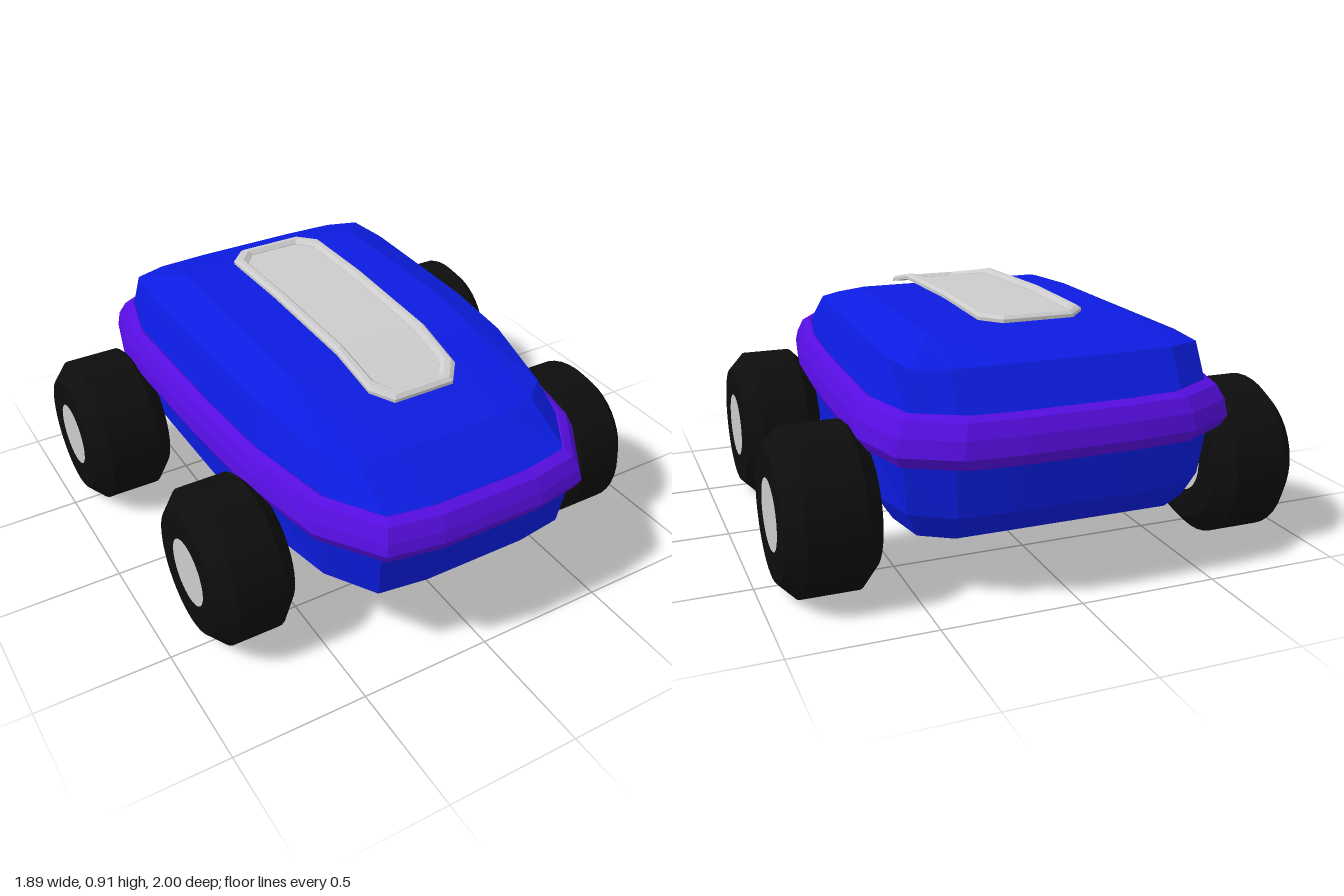
import * as THREE from 'three';
import { toCreasedNormals } from 'three/addons/utils/BufferGeometryUtils.js';

const mat = (color, extra = {}) => new THREE.MeshStandardMaterial({ color, ...extra });

// Mirror a half outline [x, z] (back to front, on +x) into a closed loop at height y(z)
function loop(half, y) {
  const h = typeof y === 'function' ? y : () => y;
  const right = half.map(([x, z]) => new THREE.Vector3(x, h(z), z));
  const left = right.map(p => new THREE.Vector3(-p.x, p.y, p.z)).reverse();
  return [...right, ...left];
}

// Skin stacked loops; optionally cap the ends, or join the last loop to the first
function loft(rings, { capBottom = false, capTop = false, closed = false } = {}) {
  const pos = [];
  const quad = (a, b, c, d) => [a, b, c, a, c, d].forEach(p => pos.push(p.x, p.y, p.z));
  const n = rings[0].length;
  for (let r = 0; r < rings.length - (closed ? 0 : 1); r++) {
    const lo = rings[r], hi = rings[(r + 1) % rings.length];
    for (let i = 0; i < n; i++) {
      const j = (i + 1) % n;
      quad(lo[i], hi[i], hi[j], lo[j]);
    }
  }
  const cap = (g, up) => {
    for (let i = 0; i < n / 2 - 1; i++) {
      const q = [g[i], g[n - 1 - i], g[n - 2 - i], g[i + 1]];
      quad(...(up ? q : q.reverse()));
    }
  };
  if (capBottom) cap(rings[0], false);
  if (capTop) cap(rings[rings.length - 1], true);
  const geo = new THREE.BufferGeometry();
  geo.setAttribute('position', new THREE.Float32BufferAttribute(pos, 3));
  geo.computeVertexNormals();
  return geo;
}

// Height that varies linearly between [z, y] stations
const heightAlong = stations => z => {
  for (let i = 1; i < stations.length; i++) {
    const [z0, y0] = stations[i - 1], [z1, y1] = stations[i];
    if (z <= z1 || i === stations.length - 1) {
      return THREE.MathUtils.mapLinear(THREE.MathUtils.clamp(z, z0, z1), z0, z1, y0, y1);
    }
  }
};

// Shrink an outline by about d on every side
const inset = (half, d, halfWidth, halfLength, zMid = 0) =>
  half.map(([x, z]) => [x * (1 - d / halfWidth), zMid + (z - zMid) * (1 - d / halfLength)]);

function add(parent, name, geometry, material) {
  const mesh = new THREE.Mesh(geometry, material);
  mesh.name = name;
  parent.add(mesh);
  return mesh;
}

function makeBody() {
  const rings = [
    // underside
    loop([[0.2, -0.6], [0.38, -0.6], [0.39, -0.59], [0.39, -0.57], [0.39, 0], [0.38, 0.27],
      [0.37, 0.29], [0.36, 0.3], [0.2, 0.3]], 0.195),
    loop([[0.2, -0.84], [0.39, -0.84], [0.5, -0.77], [0.53, -0.6], [0.52, 0], [0.5, 0.33],
      [0.44, 0.6], [0.36, 0.7], [0.2, 0.71]], 0.23),
    // lower sides
    loop([[0.2, -0.9], [0.4, -0.89], [0.54, -0.8], [0.585, -0.6], [0.575, 0], [0.56, 0.35],
      [0.49, 0.7], [0.38, 0.88], [0.2, 0.905]], 0.32),
    loop([[0.2, -0.92], [0.41, -0.9], [0.56, -0.82], [0.6, -0.6], [0.585, 0], [0.57, 0.35],
      [0.51, 0.72], [0.39, 0.91], [0.2, 0.93]], 0.5),
    // upper sides
    loop([[0.2, -0.92], [0.4, -0.91], [0.54, -0.83], [0.6, -0.6], [0.585, 0], [0.555, 0.4],
      [0.48, 0.72], [0.37, 0.89], [0.2, 0.91]], 0.645),
    // shoulder
    loop([[0.2, -0.83], [0.4, -0.82], [0.52, -0.78], [0.54, -0.6], [0.53, 0], [0.51, 0.3],
      [0.45, 0.62], [0.36, 0.7], [0.2, 0.73]],
    heightAlong([[-0.83, 0.8], [0, 0.805], [0.3, 0.795], [0.62, 0.76], [0.73, 0.757]])),
    // roof
    loop([[0.2, -0.6], [0.38, -0.6], [0.39, -0.59], [0.39, -0.57], [0.39, 0], [0.38, 0.27],
      [0.37, 0.28], [0.36, 0.29], [0.2, 0.29]],
    heightAlong([[-0.6, 0.86], [0, 0.868], [0.29, 0.855]])),
  ];
  return loft(rings, { capBottom: true, capTop: true });
}

function makeBumper() {
  const outline = [[0.2, -1], [0.41, -0.985], [0.6, -0.88], [0.67, -0.62], [0.65, 0],
    [0.625, 0.35], [0.55, 0.74], [0.4, 0.96], [0.2, 0.995]];
  // [inset, height] around the bar's section, from inner bottom outwards and up
  const section = [[0.1, 0.5], [0.02, 0.51], [0, 0.55], [0.01, 0.6], [0.035, 0.65],
    [0.065, 0.665], [0.1, 0.645]];
  const tilt = z => -0.01 * z;
  const rings = section.map(([d, y]) => loop(inset(outline, d, 0.66, 1), z => y + (y > 0.58 ? tilt(z) : 0)));
  return loft(rings, { closed: true });
}

// Raised roof trim: a bevelled rim around a thin panel, both following the roof line
function makeRoofTrim() {
  const group = new THREE.Group();
  group.name = 'roofTrim';
  const outline = [[0.13, -0.61], [0.195, -0.54], [0.193, -0.2], [0.187, 0.27], [0.18, 0.48], [0.12, 0.555]];
  const base = heightAlong([[-0.61, 0.88], [-0.2, 0.89], [0.27, 0.878], [0.555, 0.815]]);
  const ring = (d, dy) => loop(inset(outline, d, 0.195, 0.583, -0.0275), z => base(z) + dy);
  const rim = [[0, 0], [0, 0.012], [0.012, 0.022], [0.03, 0.022], [0.045, 0.008], [0.045, 0]];
  const flat = mat(0xcccccc, { flatShading: true, side: THREE.DoubleSide });
  add(group, 'trimRim', loft(rim.map(([d, dy]) => ring(d, dy)), { closed: true }), flat);
  add(group, 'trimPanel', loft([ring(0.045, 0), ring(0.045, 0.006)], { capTop: true }), flat);
  return group;
}

function makeWheel(width) {
  const group = new THREE.Group();
  const h = width / 2, R = 0.291, hub = 0.125;
  const profile = [[hub, -h], [0.23, -h], [R, -h + 0.06], [R, h - 0.06], [0.23, h], [hub, h]]
    .map(([r, y]) => new THREE.Vector2(r, y));
  const tyre = toCreasedNormals(new THREE.LatheGeometry(profile, 40), 0.4);
  add(group, 'tyre', tyre.rotateZ(Math.PI / 2), mat(0x0d0d0d));
  add(group, 'hub', new THREE.CylinderGeometry(hub, hub, width, 40).rotateZ(Math.PI / 2), mat(0xcccccc));
  return group;
}

export function createModel() {
  const model = new THREE.Group();
  model.name = 'toyCar';
  add(model, 'body', makeBody(), mat(0x0c1ce0, { flatShading: true }));
  add(model, 'bumper', makeBumper(), mat(0x560de0, { flatShading: true }));
  model.add(makeRoofTrim());

  // Wheels: inner and outer x, and z, for each axle
  const axles = [['front', 0.58, 0.88, 0.43], ['rear', 0.62, 0.945, -0.565]];
  for (const [name, inner, outer, z] of axles) {
    for (const side of [1, -1]) {
      const wheel = makeWheel(outer - inner);
      wheel.name = name + (side > 0 ? 'LeftWheel' : 'RightWheel');
      wheel.position.set(side * (inner + outer) / 2, 0.291, z);
      model.add(wheel);
    }
  }
  return model;
}
